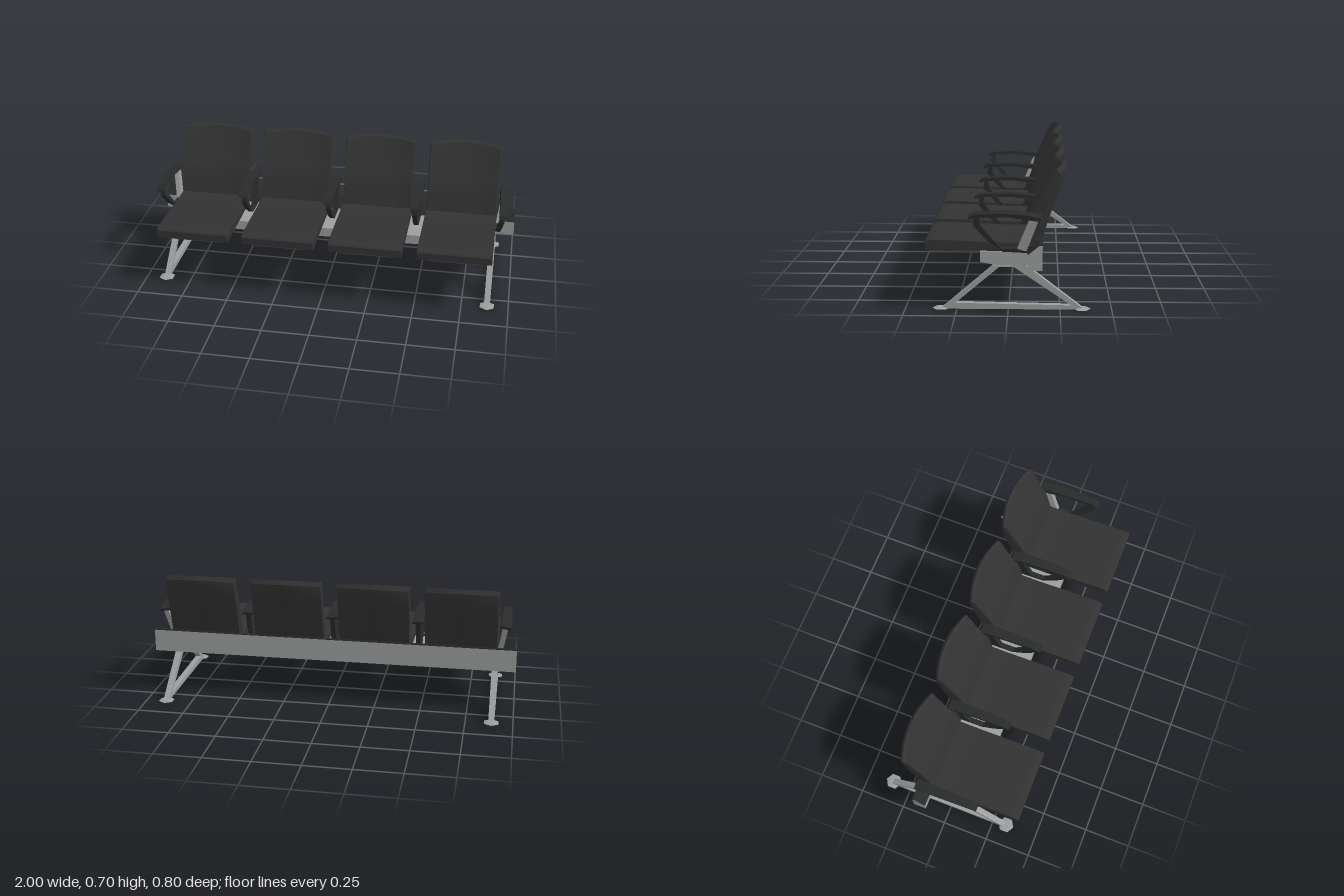
import * as THREE from 'three';
import { toCreasedNormals } from 'three/addons/utils/BufferGeometryUtils.js';

const material = (name, color) => {
  const m = new THREE.MeshStandardMaterial({ color });
  m.name = name;
  return m;
};

// Extrudes a side profile of [z, y] points across x, centred on x = 0
function sideExtrude(points, width, bevel = 0, hole = null) {
  const shape = new THREE.Shape(points.map(([z, y]) => new THREE.Vector2(z, y)));
  if (hole) shape.holes.push(new THREE.Path(hole.map(([z, y]) => new THREE.Vector2(z, y))));
  const geo = new THREE.ExtrudeGeometry(shape, {
    depth: width - 2 * bevel, bevelEnabled: bevel > 0, bevelThickness: bevel,
    bevelSize: bevel, bevelOffset: -bevel, bevelSegments: 2,
  });
  geo.translate(0, 0, -(width - 2 * bevel) / 2);
  geo.rotateY(-Math.PI / 2);
  return geo;
}

// Linear interpolation through [key, value] pairs
function along(table, t) {
  for (let i = 1; i < table.length; i++) {
    const [a, va] = table[i - 1], [b, vb] = table[i];
    if (t <= b) return va + (vb - va) * (t - a) / (b - a);
  }
  return table[table.length - 1][1];
}

// Leaning back cushion, bowed backwards across its width
function backrestGeometry() {
  const geo = new THREE.BoxGeometry(2, 1, 1, 8, 8, 2);
  const front = [[0, -0.085], [0.41, -0.118], [0.66, -0.163], [0.95, -0.205], [1, -0.215]];
  const rear = [[0, -0.155], [0.07, -0.165], [0.95, -0.25], [1, -0.245]];
  const p = geo.attributes.position;
  for (let i = 0; i < p.count; i++) {
    const u = p.getX(i), v = p.getY(i) + 0.5, d = p.getZ(i) + 0.5;
    const bow = 1 - u * u;
    const z = along(rear, v) * (1 - d) + along(front, v) * d - 0.037 * bow * v;
    const drop = d === 0 ? 0.022 * v : d === 1 ? 0.008 * v : 0;
    const edge = d === 0.5 ? 1 : 0.97;
    p.setXYZ(i, u * 0.196 * edge, 0.335 + v * 0.355 + 0.012 * bow * v - drop, z);
  }
  return toCreasedNormals(geo, 0.5);
}

export function createModel() {
  const model = new THREE.Group();
  model.name = 'bench';
  const upholstery = material('black upholstery', 0x323232);
  const plastic = material('dark plastic', 0x292a2a);
  const metal = material('grey metal', 0x9b9e9e);
  const pan = material('dark grey pan', 0x48494a);

  const add = (parent, name, geo, mat, x = 0, y = 0, z = 0) => {
    const mesh = new THREE.Mesh(geo, mat);
    mesh.name = name;
    mesh.position.set(x, y, z);
    parent.add(mesh);
    return mesh;
  };

  // Rear beam with a dark sloping cover, and the tray ahead of it
  add(model, 'beam', sideExtrude([[-0.096, 0.223], [-0.096, 0.3], [-0.15, 0.345], [-0.165, 0.345], [-0.165, 0.223]], 2), metal);
  add(model, 'beamCover', sideExtrude([[-0.096, 0.3], [-0.094, 0.304], [-0.149, 0.35], [-0.165, 0.35], [-0.165, 0.345], [-0.15, 0.345]], 2), plastic);
  add(model, 'tray', sideExtrude([[0.135, 0.292], [0.135, 0.24], [0.05, 0.223], [-0.096, 0.223], [-0.096, 0.292]], 1.8), metal);

  // Four seats
  const cushion = sideExtrude([
    [0.4, 0.3], [0.4, 0.338], [0.392, 0.346], [0.36, 0.35], [0.2, 0.345], [0, 0.336], [-0.1, 0.338],
    [-0.165, 0.357], [-0.165, 0.345], [-0.085, 0.292], [0, 0.293], [0.39, 0.295],
  ], 0.392, 0.004);
  const backrest = backrestGeometry();
  const underPan = sideExtrude([[0.37, 0.297], [0.37, 0.279], [0.13, 0.274], [0.13, 0.297]], 0.3);
  for (const x of [-0.703, -0.236, 0.232, 0.703]) {
    const seat = new THREE.Group();
    seat.name = 'seat';
    seat.position.x = x;
    add(seat, 'seatCushion', cushion, upholstery);
    add(seat, 'backrest', backrest, upholstery);
    add(seat, 'seatPan', underPan, pan);
    model.add(seat);
  }

  // Armrests: pad, front loop and rear upright
  const pad = sideExtrude([
    [0.187, 0.466], [0.18, 0.48], [0.155, 0.49], [0.02, 0.496], [-0.1, 0.487], [-0.16, 0.474],
    [-0.15, 0.458], [-0.1, 0.464], [0, 0.478], [0.14, 0.474],
  ], 1);
  const pp = pad.attributes.position;
  for (let i = 0; i < pp.count; i++) pp.setX(i, pp.getX(i) * (0.052 - 0.04 * pp.getZ(i)));
  pad.computeVertexNormals();
  const loop = sideExtrude([
    [0.16, 0.478], [0.165, 0.43], [0.1, 0.355], [0.025, 0.298], [-0.09, 0.292], [-0.125, 0.325],
    [-0.075, 0.325], [-0.06, 0.312], [0.03, 0.312], [0.075, 0.36], [0.132, 0.432], [0.14, 0.478],
  ], 0.026);
  const upright = sideExtrude([[-0.045, 0.312], [-0.1, 0.45], [-0.115, 0.466], [-0.145, 0.462], [-0.135, 0.43], [-0.088, 0.3]], 0.026);
  for (const x of [-0.91, -0.47, -0.003, 0.467, 0.91]) {
    const isEnd = Math.abs(x) > 0.9;
    const arm = new THREE.Group();
    arm.name = isEnd ? 'endArmrest' : 'middleArmrest';
    arm.position.set(x, 0.3, 0);
    // End arms splay outwards
    if (isEnd) arm.rotation.z = -Math.sign(x) * 0.16;
    add(arm, 'armPad', pad, plastic, 0, -0.3);
    add(arm, 'armLoop', loop, plastic, 0, -0.3);
    add(arm, 'armUpright', upright, isEnd ? metal : plastic, 0, -0.3);
    model.add(arm);
  }

  // Triangular leg frames with hexagonal feet
  const frame = sideExtrude(
    [[0.325, 0.006], [0.3, 0.026], [0.07, 0.224], [-0.085, 0.224], [-0.36, 0.012], [-0.36, 0.006]], 0.032, 0,
    [[0.255, 0.036], [-0.305, 0.027], [-0.027, 0.216], [0.043, 0.216]]);
  const sole = new THREE.CylinderGeometry(0.045, 0.047, 0.007, 6);
  const cap = new THREE.CylinderGeometry(0.022, 0.043, 0.007, 6);
  for (const side of [-1, 1]) {
    const leg = new THREE.Group();
    leg.name = 'legFrame';
    leg.position.x = side * 0.887;
    add(leg, 'legTriangle', frame, metal);
    for (const z of [0.325, -0.355]) {
      add(leg, 'footSole', sole, plastic, 0, 0.0035, z);
      add(leg, 'footCap', cap, metal, 0, 0.0105, z);
    }
    model.add(leg);
  }
  return model;
}
